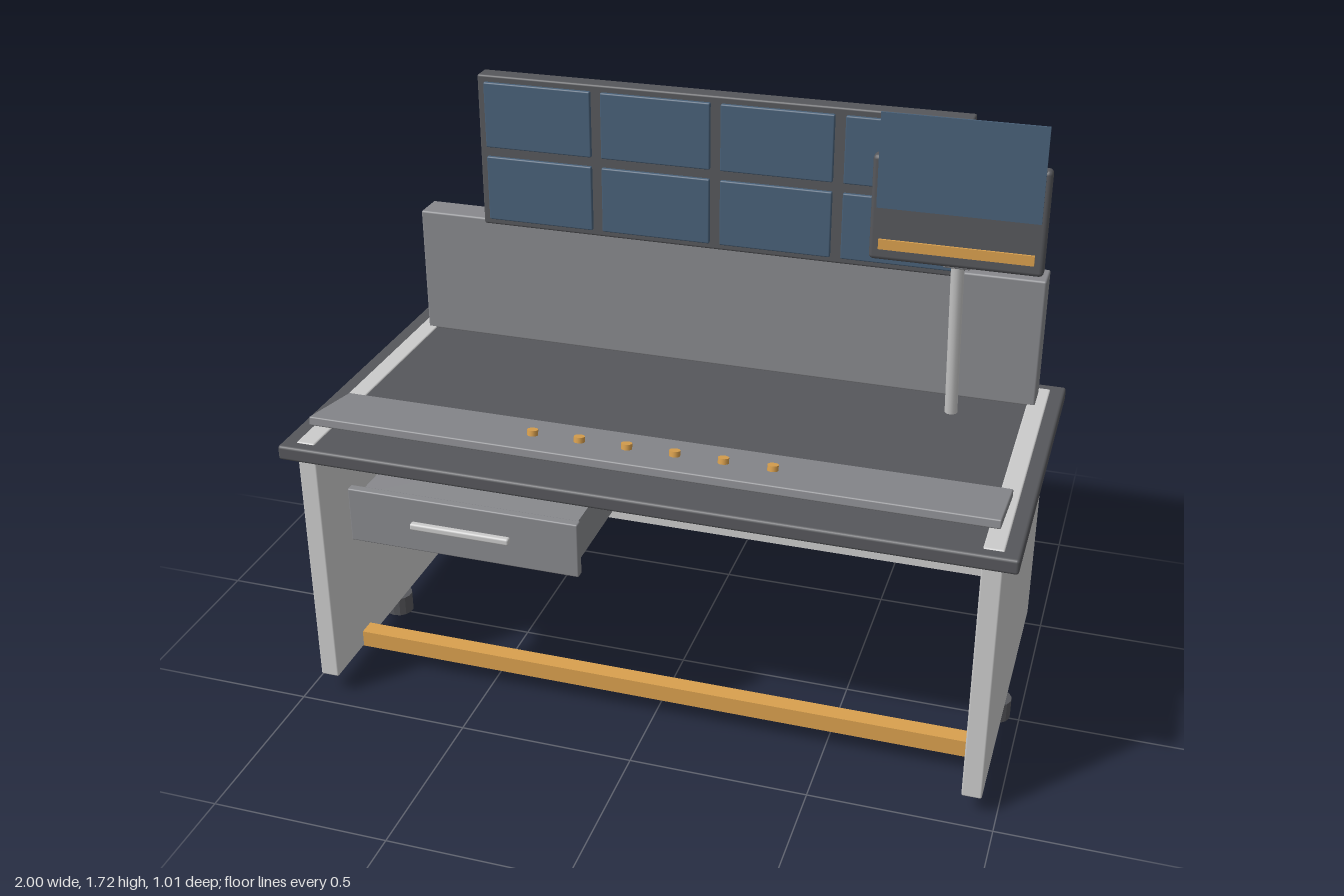
import * as THREE from 'three';
import { RoundedBoxGeometry } from 'three/addons/geometries/RoundedBoxGeometry.js';

const mat = (color) => new THREE.MeshStandardMaterial({ color });

export function createModel() {
  const model = new THREE.Group();
  const light = mat(0xcccccc), mid = mat(0x88898d), dark = mat(0x56575b);
  const blue = mat(0x486078), amber = mat(0xd9a04e);

  const add = (name, geometry, material, x, y, z, parent = model) => {
    const mesh = new THREE.Mesh(geometry, material);
    mesh.name = name;
    mesh.position.set(x, y, z);
    parent.add(mesh);
    return mesh;
  };
  // Box given by its extents on each axis, with softened edges when r > 0
  const box = (name, material, [x0, x1], [y0, y1], [z0, z1], r = 0) => {
    const size = [x1 - x0, y1 - y0, z1 - z0];
    const geometry = r ? new RoundedBoxGeometry(...size, 2, r) : new THREE.BoxGeometry(...size);
    return add(name, geometry, material, (x0 + x1) / 2, (y0 + y1) / 2, (z0 + z1) / 2);
  };

  // Desk: top, side panels that just show through it, one foot under each
  box('deskTop', dark, [-1, 1], [0.778, 0.82], [-0.505, 0.488], 0.008);
  for (const side of [-1, 1]) {
    const name = side > 0 ? 'left' : 'right';
    const panel = box(name + 'SidePanel', light, [-0.027, 0.027], [0.06, 0.823], [-0.472, 0.456], 0.005);
    panel.position.x = side * 0.932;
    const foot = new THREE.CylinderGeometry(0.042, 0.042, 0.06, 14).toNonIndexed();
    foot.computeVertexNormals();
    add(name + 'Foot', foot, dark, side * 0.932, 0.03, -0.008);
  }

  // Rails between the panels
  box('rearRail', light, [-0.91, 0.91], [0.225, 0.285], [-0.42, -0.37]);
  box('footRail', amber, [-0.91, 0.91], [0.06, 0.11], [0.24, 0.29]);

  // Drawer
  box('drawerBody', mid, [-0.78, -0.16], [0.575, 0.695], [-0.1, 0.465]);
  box('drawerFront', mid, [-0.8, -0.14], [0.56, 0.72], [0.461, 0.487], 0.004);
  box('drawerHandle', light, [-0.615, -0.33], [0.632, 0.652], [0.485, 0.505], 0.006);

  // Sloping control panel with a row of knobs
  const control = new THREE.Group();
  control.name = 'controlPanel';
  control.position.set(0, 0.848, 0.293);
  control.rotation.x = -0.165;
  model.add(control);
  add('controlPlate', new RoundedBoxGeometry(1.88, 0.025, 0.238, 2, 0.004), mid, 0, 0, 0, control);
  for (let i = 0; i < 6; i++) {
    add('knob', new THREE.CylinderGeometry(0.015, 0.015, 0.026, 16), amber,
      -0.333 + i * 0.1333, 0.015, 0.005, control);
  }

  // Upright back panel
  box('backPanel', mid, [-0.932, 0.928], [0.818, 1.2], [-0.447, -0.354], 0.006);

  // Screen wall, two rows of four
  box('screenWall', dark, [-0.71, 0.703], [1.2, 1.65], [-0.372, -0.315], 0.006);
  for (let row = 0; row < 2; row++) {
    for (let col = 0; col < 4; col++) {
      const x = -0.5285 + col * 0.35, y = 1.315 + row * 0.22;
      box('wallScreen', blue, [x - 0.16, x + 0.16], [y - 0.096, y + 0.096], [-0.322, -0.305], 0.004);
    }
  }

  // Leaning pole and bracket that carry the side monitor
  const foot = new THREE.Vector3(0.708, 0.815, -0.253), head = new THREE.Vector3(0.708, 1.32, -0.166);
  const along = head.clone().sub(foot);
  const middle = foot.clone().add(head).multiplyScalar(0.5);
  const pole = add('monitorPole', new THREE.CylinderGeometry(0.018, 0.018, along.length(), 12), light, ...middle);
  pole.quaternion.setFromUnitVectors(new THREE.Vector3(0, 1, 0), along.normalize());
  box('monitorBracket', mid, [0.671, 0.745], [1.292, 1.462], [-0.202, -0.148], 0.005);

  // Side monitor with raised glass and an indicator strip
  box('monitorBody', dark, [0.479, 0.938], [1.313, 1.602], [-0.14, -0.101], 0.012);
  box('monitorGlass', blue, [0.495, 0.923], [1.46, 1.718], [-0.104, -0.098]);
  box('indicatorStrip', amber, [0.505, 0.913], [1.346, 1.374], [-0.105, -0.095]);

  return model;
}
